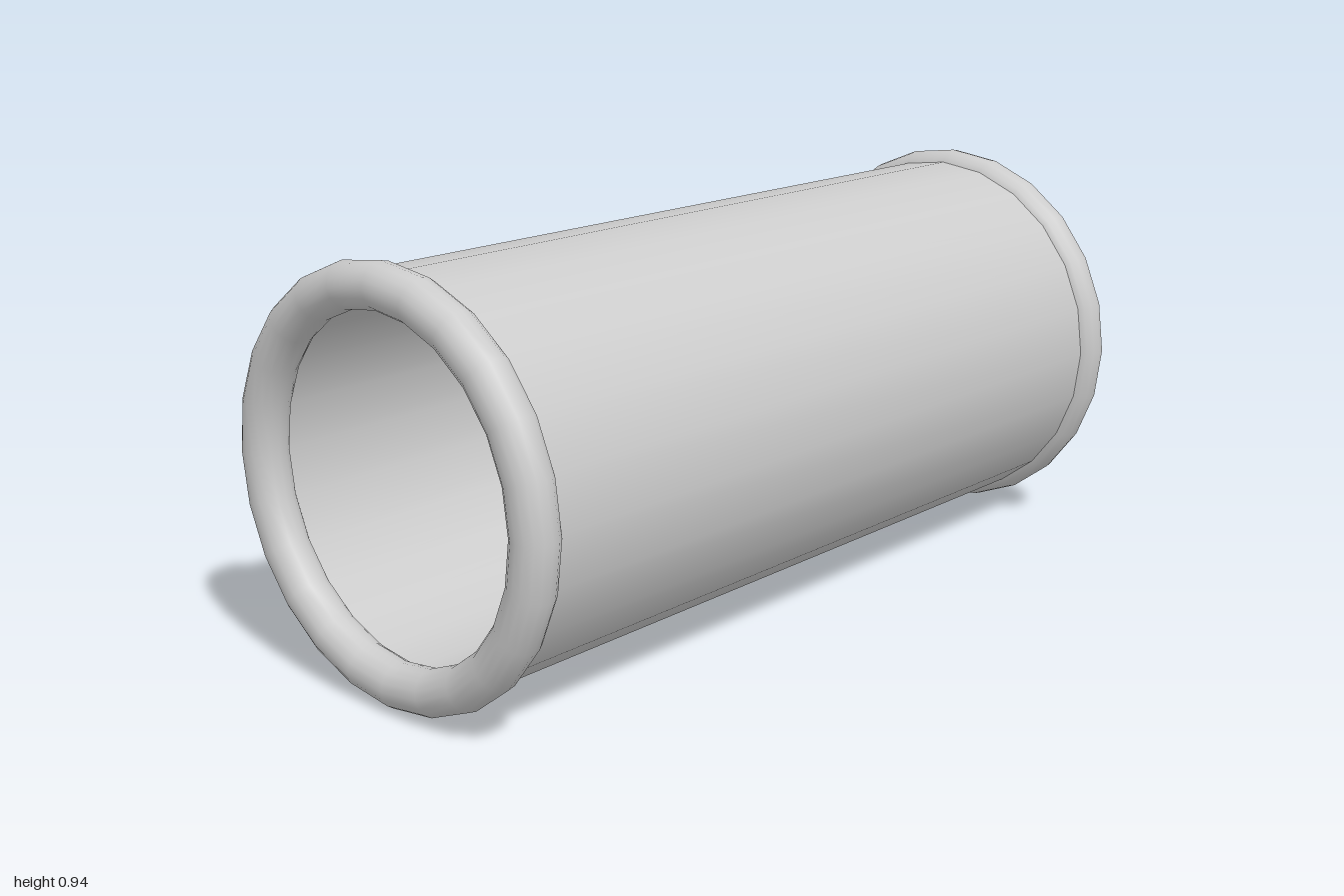
import * as THREE from 'three';

const SIDES = 24;
const RIM_RADIUS = 0.4175; // centre line of the rolled rims
const RIM_TUBE = 0.05;
const RIM_Z = 0.95;
const WALL_OUTER = 0.44;
const WALL_INNER = 0.395;
const CENTRE_Y = 0.4675;

export function createModel() {
  const model = new THREE.Group();
  const grey = new THREE.MeshStandardMaterial({ color: 0xcccccc });
  const greyInside = new THREE.MeshStandardMaterial({ color: 0xcccccc, side: THREE.BackSide });

  const add = (name, geometry, material, z = 0) => {
    const mesh = new THREE.Mesh(geometry, material);
    mesh.name = name;
    mesh.position.set(0, CENTRE_Y, z);
    model.add(mesh);
  };

  // Open wall lying along z; its ends are buried in the rims
  const wall = (radius) =>
    new THREE.CylinderGeometry(radius, radius, RIM_Z * 2, SIDES, 1, true).rotateX(Math.PI / 2);
  add('outerWall', wall(WALL_OUTER), grey);
  add('innerWall', wall(WALL_INNER), greyInside);

  // Rounded rim at each end
  for (const [name, side] of [['frontRim', 1], ['backRim', -1]]) {
    add(name, new THREE.TorusGeometry(RIM_RADIUS, RIM_TUBE, 16, SIDES), grey, side * RIM_Z);
  }
  return model;
}
